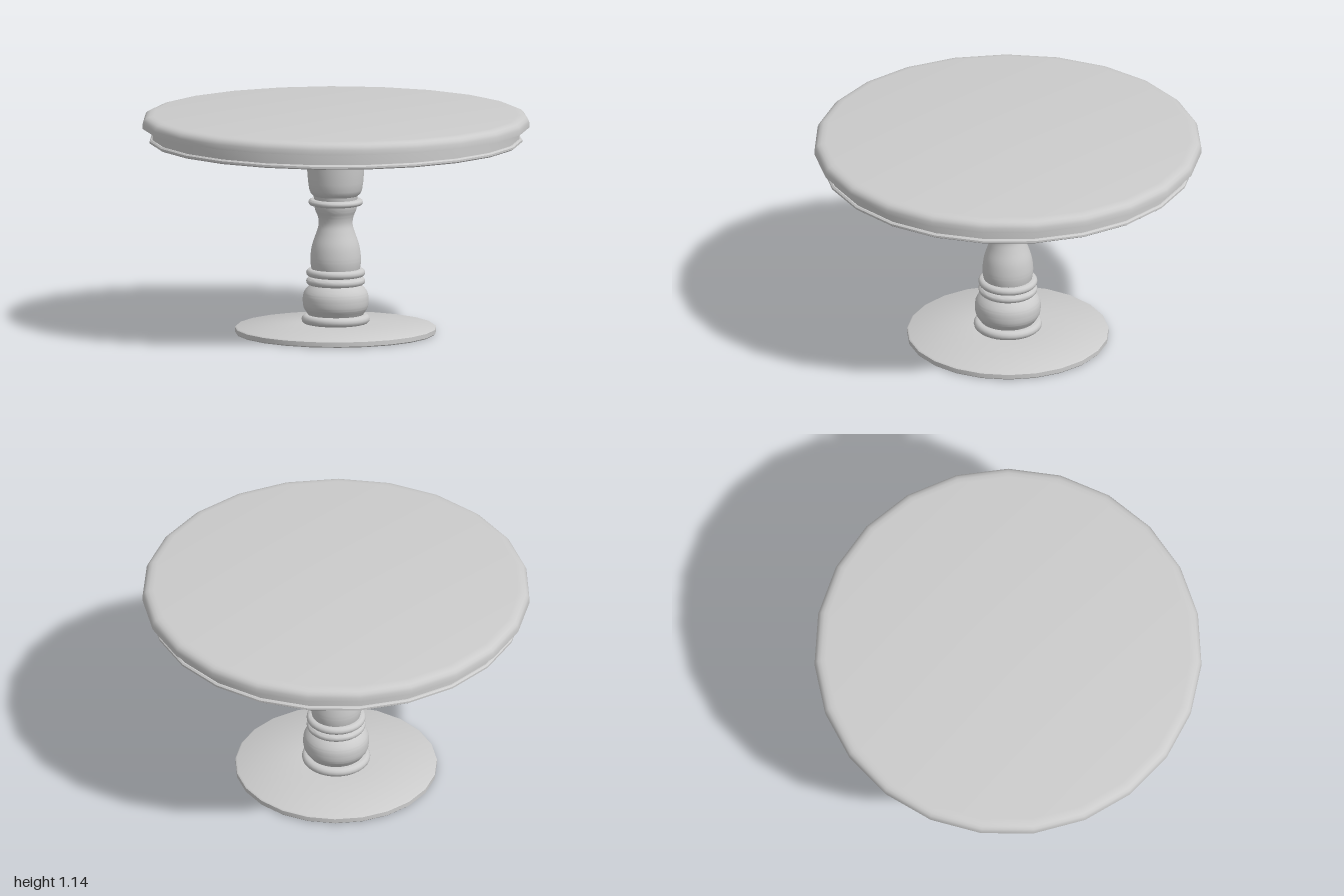
import * as THREE from 'three';
import { toCreasedNormals } from 'three/addons/utils/BufferGeometryUtils.js';

const grey = new THREE.MeshStandardMaterial({ color: 0xcccccc });

// Turned part from [radius, height] points, listed bottom to top
function turned(name, profile, sides, start = Math.PI / 2) {
  const points = profile.map(([r, y]) => new THREE.Vector2(r, y));
  const lathe = new THREE.LatheGeometry(points, sides, start);
  const mesh = new THREE.Mesh(toCreasedNormals(lathe, 0.65), grey);
  mesh.name = name;
  return mesh;
}

// Rounded collar: a flattened half-round bead between two heights
function bead(name, radius, y0, y1, inner, sides) {
  const h = (y1 - y0) / 2, mid = (y0 + y1) / 2;
  const profile = [[inner, y0]];
  for (let i = 0; i <= 6; i++) {
    const a = -Math.PI / 2 + (Math.PI * i) / 6;
    profile.push([radius - h + h * Math.cos(a), mid + h * Math.sin(a)]);
  }
  profile.push([inner, y1]);
  return turned(name, profile, sides);
}

// Smooth swelling section through a few points
function swelling(name, pts, sides) {
  const curve = new THREE.SplineCurve(pts.map(([r, y]) => new THREE.Vector2(r, y)));
  return turned(name, curve.getPoints(pts.length * 4).map((p) => [p.x, p.y]), sides);
}

export function createModel() {
  const table = new THREE.Group();
  table.name = 'pedestalTable';
  const topSides = 23, columnSides = 32;

  // Top with rounded rim, apron, lower lip and recessed underside
  table.add(turned('tableTop', [
    [0, 1.05], [0.87, 1.05], [0.87, 0.998], [0.958, 0.998], [0.966, 1.004],
    [0.966, 1.014], [0.958, 1.021], [0.952, 1.021], [0.952, 1.08], [1.0025, 1.08],
    [1.0025, 1.105], [0.997, 1.121], [0.985, 1.133], [0.968, 1.14],
    [0.945, 1.143], [0, 1.143],
  ], topSides));

  // Thin, slightly domed foot plate
  table.add(turned('basePlate', [
    [0, 0], [0.517, 0], [0.522, 0.005], [0.522, 0.028], [0.514, 0.034],
    [0.18, 0.047], [0, 0.047],
  ], topSides, -Math.PI / 2));

  // Column, from foot to top
  table.add(bead('footCollar', 0.177, 0.05, 0.097, 0.08, columnSides));
  table.add(swelling('lowerBulb', [
    [0.138, 0.09], [0.15, 0.108], [0.166, 0.135], [0.171, 0.17],
    [0.167, 0.205], [0.152, 0.232], [0.13, 0.255],
  ], columnSides));
  for (const y of [0.252, 0.296]) {
    table.add(bead('middleCollar', 0.153, y, y + 0.04, 0.08, columnSides));
  }
  table.add(swelling('vaseSection', [
    [0.122, 0.32], [0.13, 0.36], [0.131, 0.4], [0.122, 0.46], [0.1, 0.525],
    [0.088, 0.57], [0.093, 0.61], [0.107, 0.645], [0.113, 0.68],
  ], columnSides));
  table.add(bead('upperCollar', 0.141, 0.668, 0.7, 0.08, columnSides));
  table.add(turned('upperColumn', [
    [0.1, 0.69], [0.112, 0.7], [0.115, 0.718], [0.128, 0.73], [0.137, 0.75],
    [0.143, 0.79], [0.148, 0.85], [0.152, 0.93], [0.154, 1.0], [0.154, 1.055],
  ], columnSides));

  // Centre the odd-sided outline
  table.children.forEach((part) => { part.position.x = -0.0047; });
  return table;
}
